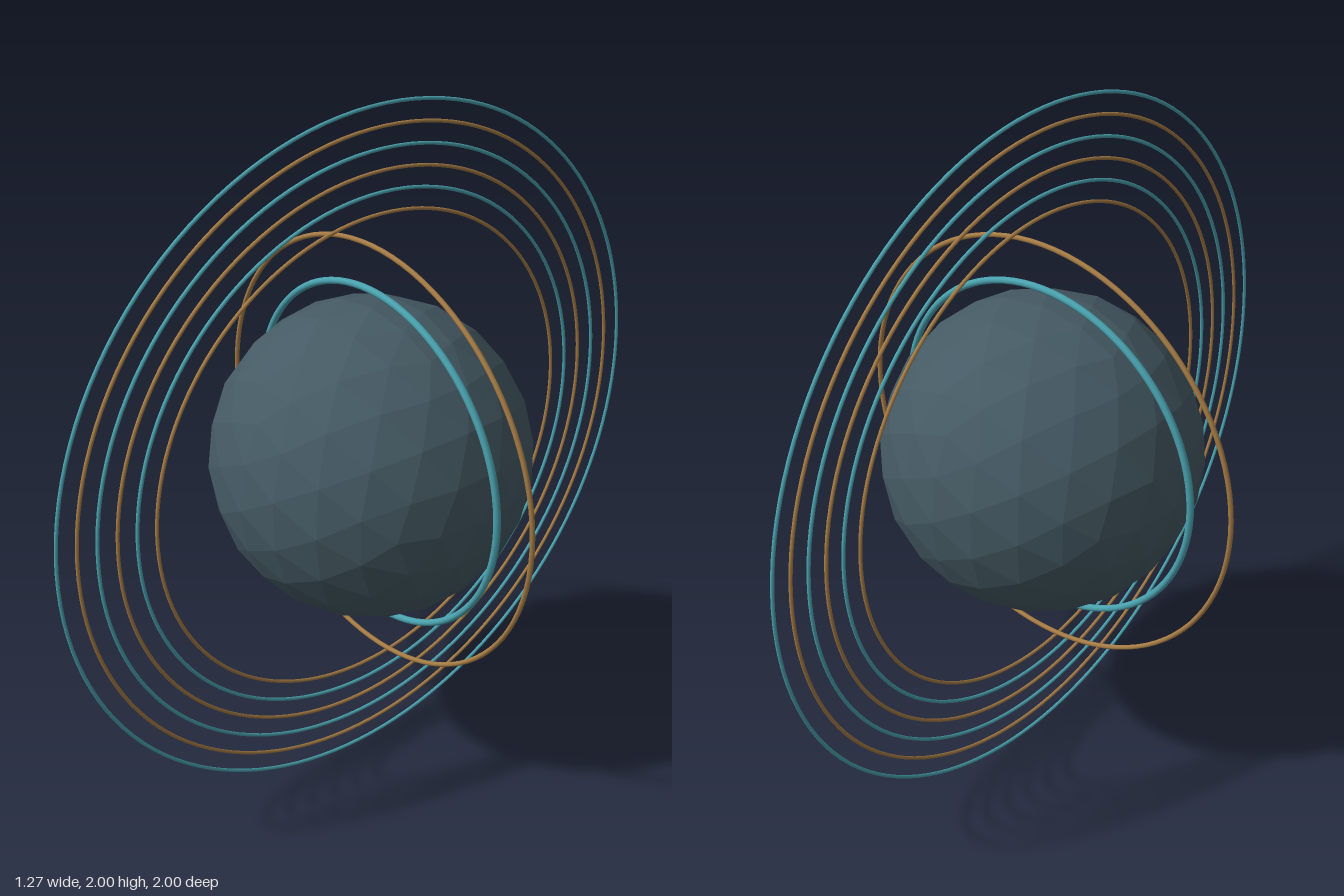
import * as THREE from 'three';

const material = (color, flatShading = false) =>
  new THREE.MeshStandardMaterial({ color, flatShading });

export function createModel() {
  const model = new THREE.Group();
  model.name = 'ringedSphere';
  const teal = material(0x4aa3b0);
  const brass = material(0xa67c45);

  function add(name, geometry, mat) {
    const mesh = new THREE.Mesh(geometry, mat);
    mesh.name = name;
    mesh.position.y = 1;
    model.add(mesh);
    return mesh;
  }

  // faceted core
  add('core', new THREE.IcosahedronGeometry(0.45, 3), material(0x455a64, true));

  // two rings facing the front
  add('innerFrontRing', new THREE.TorusGeometry(0.5, 0.01, 8, 96), teal);
  add('outerFrontRing', new THREE.TorusGeometry(0.627, 0.007, 8, 96), brass);

  // six thin concentric rings facing the sides, alternating in colour
  for (let i = 0; i < 6; i++) {
    const geometry = new THREE.TorusGeometry(0.706 + i * 0.0578, 0.005, 8, 128);
    const ring = add(`sideRing${i + 1}`, geometry, i % 2 ? teal : brass);
    ring.rotation.y = Math.PI / 2;
  }
  return model;
}
